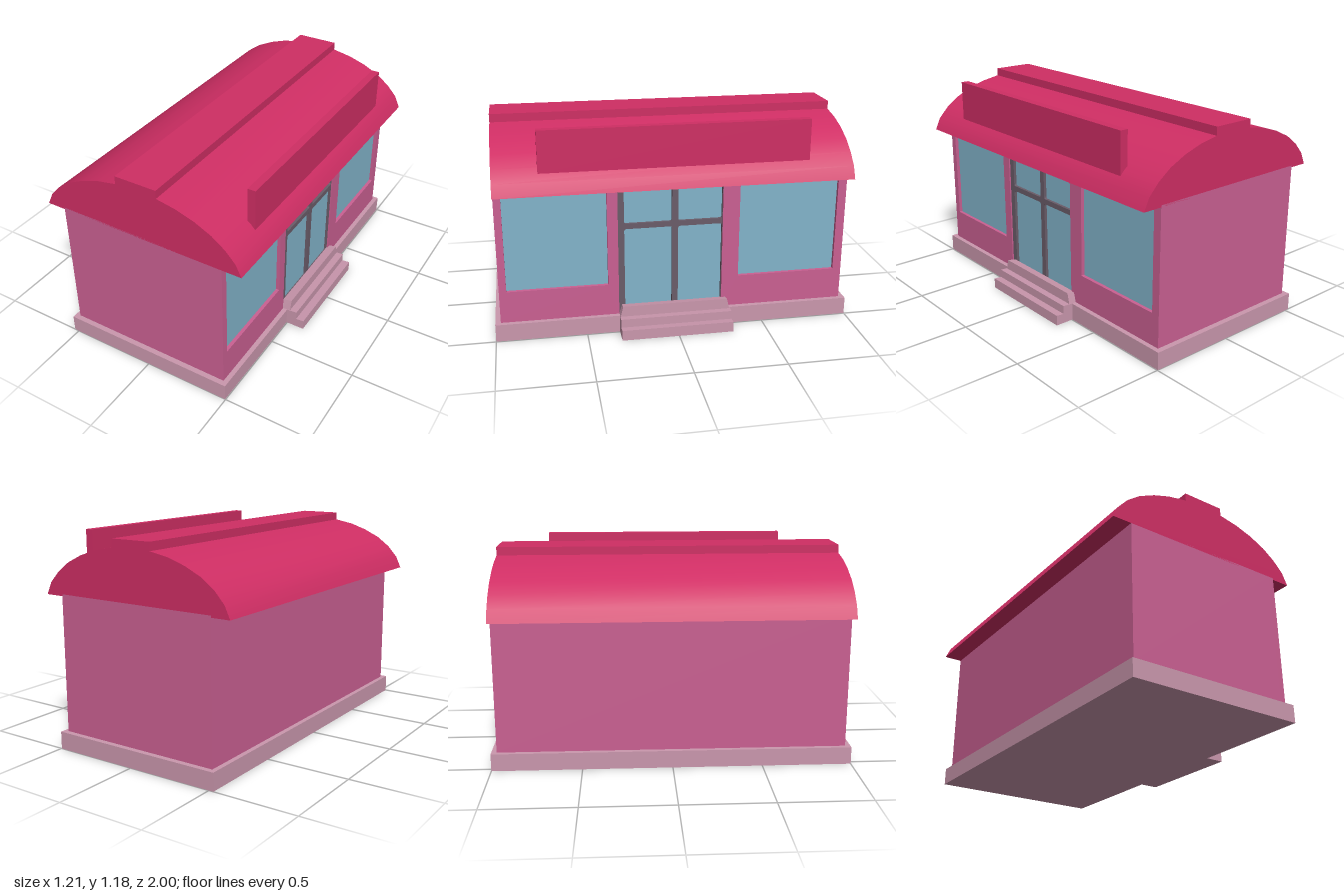
import * as THREE from 'three';
import { toCreasedNormals } from 'three/addons/utils/BufferGeometryUtils.js';

const mat = (name, color) => new THREE.MeshStandardMaterial({ name, color });

const polygon = (points) => new THREE.Shape(points.map(([x, y]) => new THREE.Vector2(x, y)));

// Rectangle with slightly rounded corners, used for the pane openings
function roundedRect(x0, x1, y0, y1, r) {
  const p = new THREE.Path();
  p.moveTo(x0 + r, y0);
  p.lineTo(x1 - r, y0);
  p.quadraticCurveTo(x1, y0, x1, y0 + r);
  p.lineTo(x1, y1 - r);
  p.quadraticCurveTo(x1, y1, x1 - r, y1);
  p.lineTo(x0 + r, y1);
  p.quadraticCurveTo(x0, y1, x0, y1 - r);
  p.lineTo(x0, y0 + r);
  p.quadraticCurveTo(x0, y0, x0 + r, y0);
  return p;
}

const extrude = (shape, depth) =>
  new THREE.ExtrudeGeometry(shape, { depth, bevelEnabled: false, curveSegments: 3 });

export function createModel() {
  const model = new THREE.Group();
  model.name = 'shop';
  const roofRed = mat('roof red', 0xcf2e64);
  const wallPink = mat('wall pink', 0xca6092);
  const stone = mat('stone pink', 0xca97ad);
  const glass = mat('glass blue', 0x82b4ca);
  const frameGrey = mat('frame grey', 0x6a5c69);

  const add = (name, geometry, material) => {
    const mesh = new THREE.Mesh(geometry, material);
    mesh.name = name;
    model.add(mesh);
    return mesh;
  };
  // Box given by its extents along each axis
  const box = (name, material, x0, x1, y0, y1, z0, z1) =>
    add(name, new THREE.BoxGeometry(x1 - x0, y1 - y0, z1 - z0), material)
      .position.set((x0 + x1) / 2, (y0 + y1) / 2, (z0 + z1) / 2);
  // Panel on the shop front: drawn in (-z, y), thickened towards +x
  const panel = (name, material, shape, x0, x1) => {
    const mesh = add(name, extrude(shape, x1 - x0), material);
    mesh.rotation.y = Math.PI / 2;
    mesh.position.x = x0;
  };

  // Plinth and main body
  box('plinth', stone, -0.527, 0.497, 0, 0.098, -1, 1);
  box('body', wallPink, -0.5, 0.44, 0.098, 0.86, -0.97, 0.97);

  // Shop front with a doorway notch and two window openings
  const front = polygon([
    [-0.97, 0.098], [-0.317, 0.098], [-0.317, 0.849], [0.265, 0.849],
    [0.265, 0.098], [0.97, 0.098], [0.97, 0.86], [-0.97, 0.86],
  ]);
  const windows = [[-0.93, -0.375], [0.36, 0.922]];
  for (const [u0, u1] of windows) front.holes.push(roundedRect(u0, u1, 0.278, 0.828, 0.003));
  panel('frontWall', wallPink, front, 0.44, 0.47);
  for (const [u0, u1] of windows) box('windowGlass', glass, 0.441, 0.45, 0.27, 0.835, -u1 - 0.005, -u0 + 0.005);

  // Double door: frame with four rounded openings and glass behind
  const door = polygon([[-0.317, 0.098], [0.265, 0.098], [0.265, 0.849], [-0.317, 0.849]]);
  for (const [u0, u1] of [[-0.282, -0.018], [0.016, 0.262]]) {
    door.holes.push(roundedRect(u0, u1, 0.628, 0.828, 0.012));
    door.holes.push(roundedRect(u0, u1, 0.13, 0.598, 0.012));
  }
  panel('doorFrame', frameGrey, door, 0.441, 0.462);
  box('doorGlass', glass, 0.438, 0.446, 0.12, 0.84, -0.263, 0.3);

  // Arched roof with a raised ridge
  const roof = polygon([
    [-0.608, 0.85], [0.58, 0.85], [0.548, 0.918], [0.49, 0.98], [0.415, 1.035],
    [0.322, 1.08], [0.22, 1.113], [0.107, 1.134], [0.107, 1.18], [-0.137, 1.18],
    [-0.137, 1.134], [-0.25, 1.113], [-0.35, 1.08], [-0.445, 1.035], [-0.52, 0.98],
    [-0.576, 0.918],
  ]);
  add('roof', toCreasedNormals(extrude(roof, 1.94), 0.5), roofRed).position.z = -0.97;

  // Blank sign board above the entrance
  box('signBoard', roofRed, 0.47, 0.515, 0.953, 1.181, -0.728, 0.732);

  // Entrance steps, with the top tread slightly narrower
  const profile = polygon([
    [0.497, 0], [0.605, 0], [0.605, 0.059], [0.558, 0.055], [0.558, 0.103], [0.497, 0.099],
  ]);
  add('lowerSteps', extrude(profile, 0.625), stone).position.z = -0.307;
  const tread = extrude(polygon([[0.462, 0.098], [0.515, 0.098], [0.515, 0.16], [0.462, 0.15]]), 0.62);
  tread.translate(0, 0, -0.31);
  const p = tread.attributes.position;
  for (let i = 0; i < p.count; i++) if (p.getY(i) > 0.13) p.setZ(i, p.getZ(i) * 0.95);
  tread.computeVertexNormals();
  add('topStep', tread, stone).position.z = 0.006;

  return model;
}
